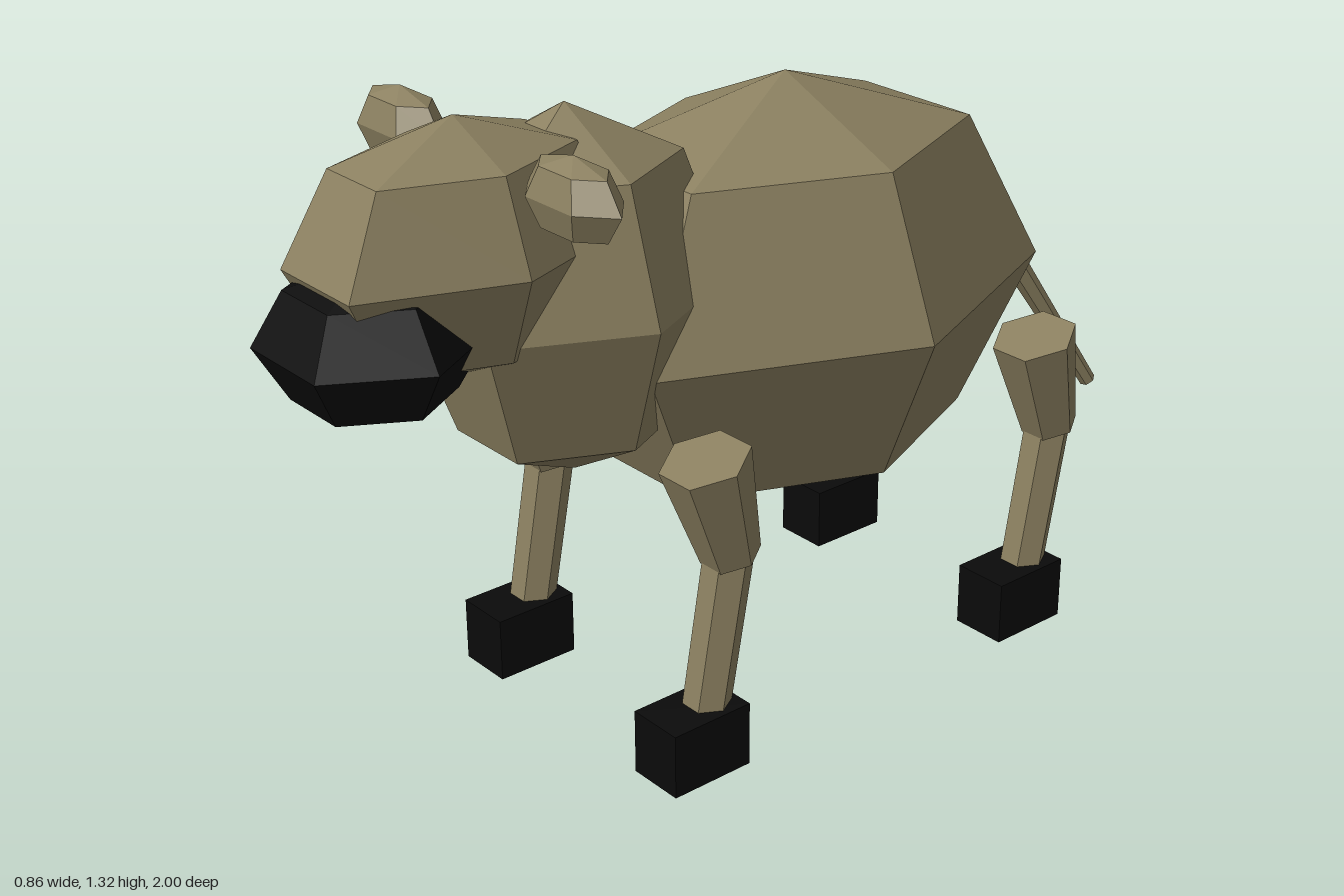
import * as THREE from 'three';

export function createModel() {
  const model = new THREE.Group();
  model.name = 'animal';
  const hide = new THREE.MeshStandardMaterial({ color: 0x8b8060, flatShading: true });
  hide.name = 'khaki hide';
  const black = new THREE.MeshStandardMaterial({ color: 0x0b0b0b, flatShading: true });
  black.name = 'black';

  const add = (name, geometry, material, parent = model) => {
    const mesh = new THREE.Mesh(geometry, material);
    mesh.name = name;
    parent.add(mesh);
    return mesh;
  };

  // Faceted six-sided ellipsoid
  const blob = (name, material, [x, y, z], [rx, ry, rz]) => {
    const geometry = new THREE.SphereGeometry(1, 6, 4).scale(rx, ry, rz);
    add(name, geometry, material).position.set(x, y, z);
  };

  // Six-sided tapered limb from one point to another
  const limb = (name, from, to, rFrom, rTo, parent) => {
    const a = new THREE.Vector3(...from);
    const b = new THREE.Vector3(...to);
    const axis = a.clone().sub(b);
    const geometry = new THREE.CylinderGeometry(rFrom, rTo, axis.length(), 6).rotateY(Math.PI / 2);
    const mesh = add(name, geometry, hide, parent);
    mesh.quaternion.setFromUnitVectors(new THREE.Vector3(0, 1, 0), axis.normalize());
    mesh.position.copy(a.add(b).multiplyScalar(0.5));
  };

  // Trunk, neck, head and muzzle
  blob('body', hide, [0, 0.806, -0.143], [0.43, 0.443, 0.593]);
  blob('neck', hide, [0, 0.928, 0.39], [0.27, 0.367, 0.325]);
  blob('head', hide, [0, 1.075, 0.63], [0.22, 0.245, 0.342]);
  blob('muzzle', black, [0, 0.95, 0.82], [0.21, 0.146, 0.208]);

  // Ears
  for (const side of [1, -1]) {
    blob(side > 0 ? 'leftEar' : 'rightEar', hide, [side * 0.262, 1.222, 0.567], [0.13, 0.078, 0.064]);
  }

  // Legs: thigh, shin and block hoof
  for (const [row, z] of [['front', 0], ['back', -0.89]]) {
    for (const side of [1, -1]) {
      const leg = new THREE.Group();
      leg.name = row + (side > 0 ? 'Left' : 'Right') + 'Leg';
      leg.position.set(side * 0.283, 0, z);
      limb('upperLeg', [0, 0.655, 0.3], [0, 0.436, 0.238], 0.09, 0.06, leg);
      limb('lowerLeg', [0, 0.432, 0.244], [0, 0.08, 0.308], 0.05, 0.048, leg);
      add('hoof', new THREE.BoxGeometry(0.123, 0.136, 0.186), black, leg).position.set(0, 0.068, 0.335);
      model.add(leg);
    }
  }

  // Tail
  limb('tail', [0, 0.805, -0.733], [0.1, 0.377, -0.987], 0.029, 0.018, model);
  return model;
}
